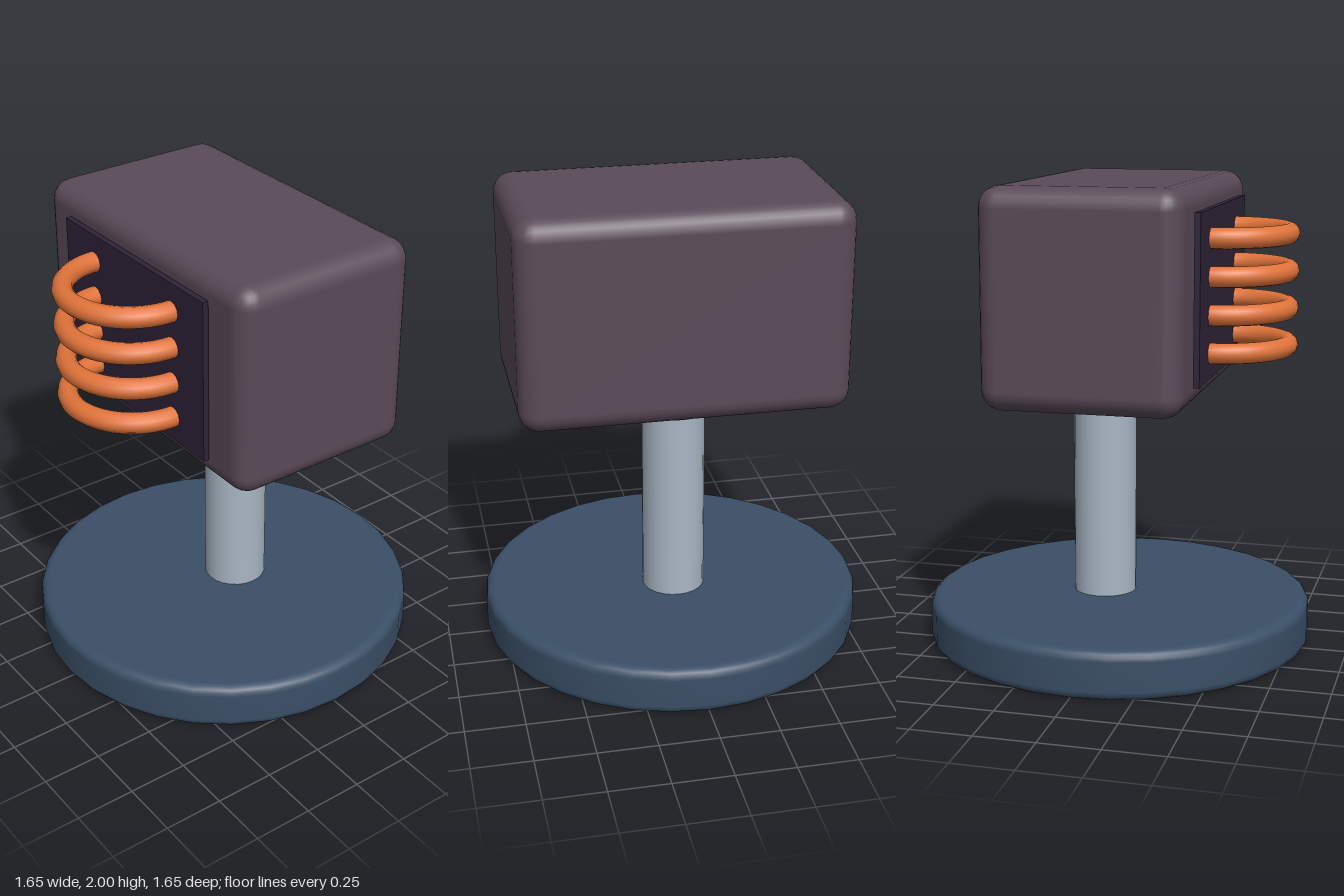
import * as THREE from 'three';
import { RoundedBoxGeometry } from 'three/addons/geometries/RoundedBoxGeometry.js';

const material = (name, color) => {
  const m = new THREE.MeshStandardMaterial({ color });
  m.name = name;
  return m;
};

export function createModel() {
  const slate = material('slate blue', 0x3a4f66);
  const steel = material('pale steel', 0xa9b6c4);
  const rose = material('rose copper', 0xc58678);
  const plum = material('plum grey', 0x5a4a58);
  const dark = material('dark violet', 0x2f2338);
  const copper = material('orange copper', 0xe0733a);

  const model = new THREE.Group();
  const add = (name, geometry, mat, x, y, z) => {
    const mesh = new THREE.Mesh(geometry, mat);
    mesh.name = name;
    mesh.position.set(x, y, z);
    model.add(mesh);
    return mesh;
  };

  // Round base with softened rims; close extra points keep the flats flat
  const R = 0.826, H = 0.205, b = 0.04;
  const profile = [[0, 0], [R - b - 0.004, 0]];
  for (let i = 0; i <= 4; i++) {
    const a = (i / 4) * Math.PI / 2;
    profile.push([R - b + b * Math.sin(a), b - b * Math.cos(a)]);
  }
  for (let i = 0; i <= 4; i++) {
    const a = (i / 4) * Math.PI / 2;
    profile.push([R - b + b * Math.cos(a), H - b + b * Math.sin(a)]);
  }
  profile.push([R - b - 0.004, H], [0, H]);
  add('base', new THREE.LatheGeometry(profile.map(([x, y]) => new THREE.Vector2(x, y)), 32), slate, 0, 0, 0);

  // Post and collar sit slightly behind the centre
  const postZ = -0.066;
  add('post', new THREE.CylinderGeometry(0.135, 0.135, 0.95, 24), steel, 0, 0.655, postZ);
  add('collar', new THREE.TorusGeometry(0.163, 0.054, 12, 32), rose, 0, 1.114, postZ).rotation.x = Math.PI / 2;

  // Housing with rounded edges, and the plate on its front
  add('housing', new RoundedBoxGeometry(1.376, 0.89, 0.824, 3, 0.085), plum, 0, 1.555, 0);
  add('frontPlate', new THREE.BoxGeometry(0.96, 0.69, 0.025), dark, 0, 1.555, 0.432);

  // Four half-ring coils standing out from the plate
  const coil = new THREE.TorusGeometry(0.273, 0.043, 12, 32, Math.PI);
  for (let i = 0; i < 4; i++) {
    add('coil' + (i + 1), coil, copper, 0, 1.316 + i * 0.155, 0.443).rotation.x = Math.PI / 2;
  }
  return model;
}
